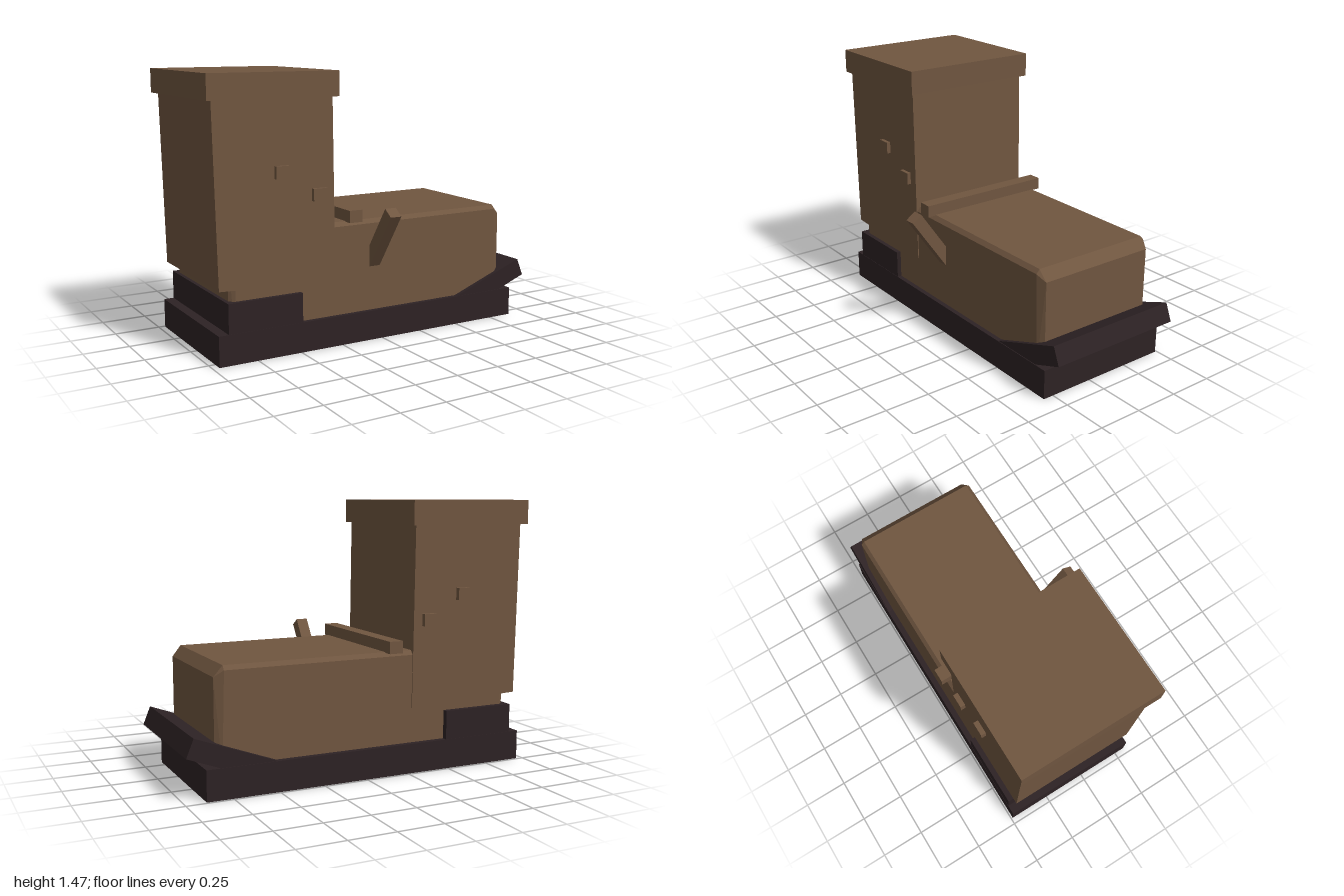
import * as THREE from 'three';
import { ConvexGeometry } from 'three/addons/geometries/ConvexGeometry.js';

const leather = new THREE.MeshStandardMaterial({ color: 0x705640 });
leather.name = 'brown leather';
const rubber = new THREE.MeshStandardMaterial({ color: 0x2d2224 });
rubber.name = 'dark rubber';

export function createModel() {
  const model = new THREE.Group();
  model.name = 'boot';

  const add = (name, geometry, material) => {
    const mesh = new THREE.Mesh(geometry, material);
    mesh.name = name;
    model.add(mesh);
    return mesh;
  };

  // Box given by its limits on each axis
  const block = (name, material, [x0, x1], [y0, y1], [z0, z1]) => {
    const geometry = new THREE.BoxGeometry(x1 - x0, y1 - y0, z1 - z0);
    geometry.translate((x0 + x1) / 2, (y0 + y1) / 2, (z0 + z1) / 2);
    return add(name, geometry, material);
  };

  // Side outline extruded across the width
  const slab = (name, material, outline, [z0, z1]) => {
    const shape = new THREE.Shape(outline.map(([x, y]) => new THREE.Vector2(x, y)));
    const geometry = new THREE.ExtrudeGeometry(shape, { depth: z1 - z0, bevelEnabled: false });
    geometry.translate(0, 0, z0);
    return add(name, geometry, material);
  };

  const wide = [-0.49, 0.31];

  // Sole, heel counter and upturned toe guard
  block('sole', rubber, [-0.965, 0.89], [0, 0.163], wide);
  block('heelGuard', rubber, [-0.91, -0.49], [0.15, 0.322], [-0.488, 0.308]);
  slab('toeGuard', rubber, [[0.5, 0.16], [0.54, 0.06], [0.99, 0.23], [0.95, 0.328]], [-0.486, 0.306]);

  // Foot: box with chamfered top and vertical edges
  const midZ = -0.087;
  const corners = [];
  for (const side of [-1, 1]) {
    for (const [endX, inX] of [[0.828, 0.78], [-0.89, -0.85]]) {
      const z = (half) => midZ + side * half;
      corners.push(
        new THREE.Vector3(inX, 0.668, z(0.35)),
        new THREE.Vector3(inX, 0.645, z(0.37)),
        new THREE.Vector3(endX, 0.61, z(0.345)),
        new THREE.Vector3(inX + Math.sign(endX) * 0.015, 0.14, z(0.37)),
        new THREE.Vector3(endX, 0.14, z(0.345))
      );
    }
  }
  add('foot', new ConvexGeometry(corners), leather);

  // Shaft, flaring slightly backwards, with its cuff
  slab('shaft', leather, [[-0.95, 0.385], [-0.285, 0.355], [-0.298, 1.34], [-0.97, 1.34]], [-0.462, 0.288]);
  block('cuff', leather, [-1, -0.27], [1.336, 1.468], wide);

  // Lace pegs: through-bars showing on both sides and on the instep
  const bars = [[-0.595, 0.963], [-0.382, 0.832], [-0.17, 0.697]];
  bars.forEach(([x, y], i) =>
    block(`laceBar${i + 1}`, leather, [x - 0.039, x + 0.039], [y - 0.033, y + 0.033], wide));

  // Loose lace end sticking out of the front side
  const lace = add('looseLace', new THREE.BoxGeometry(0.066, 0.46, 0.067), leather);
  lace.position.set(-0.037, 0.541, 0.336);
  lace.rotation.x = 0.608;

  return model;
}
